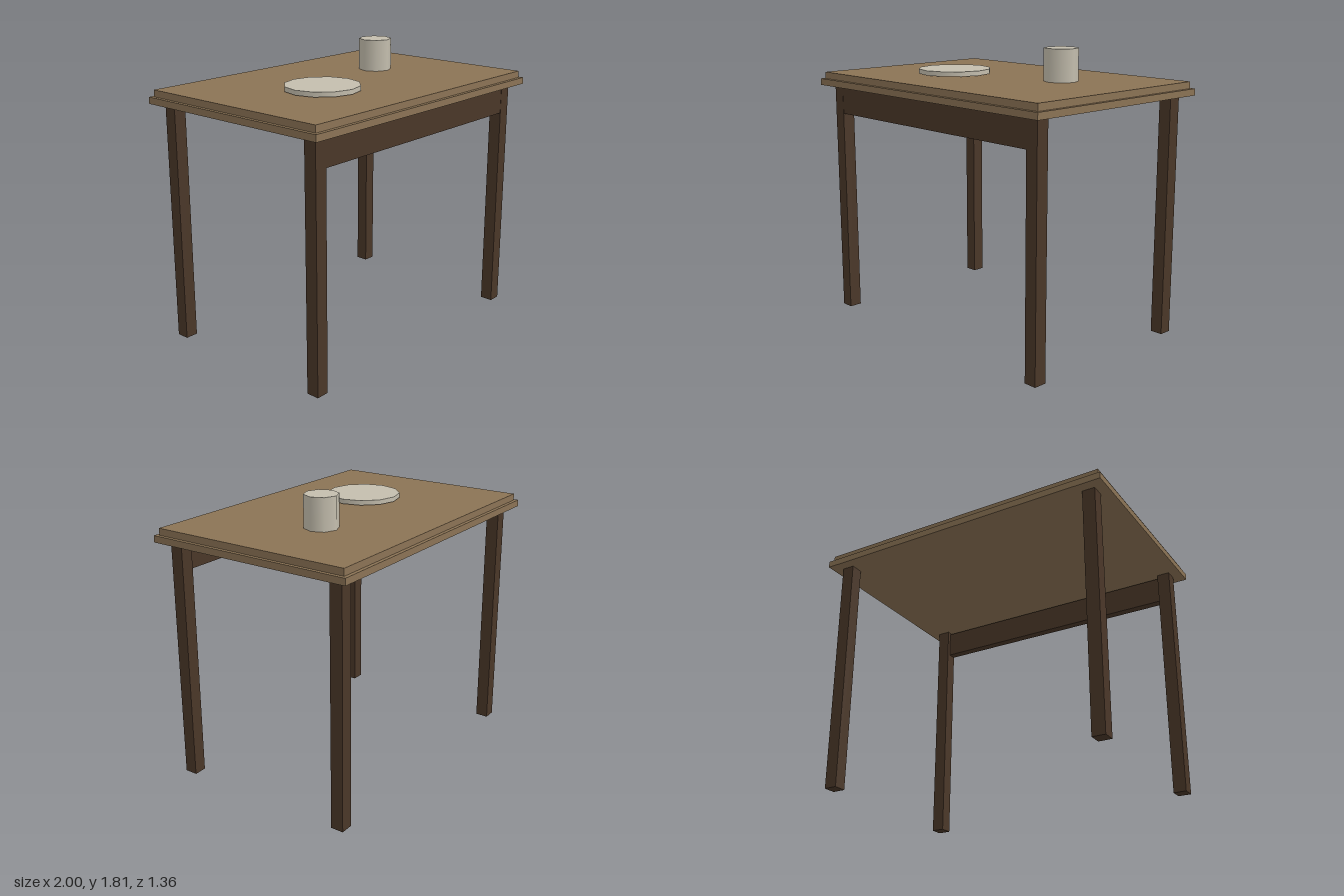
import * as THREE from 'three';

export function createModel() {
  const model = new THREE.Group();
  model.name = 'table';

  const material = (name, color) => {
    const m = new THREE.MeshStandardMaterial({ color });
    m.name = name;
    return m;
  };
  const lightWood = material('lightWood', 0x8b7355);
  const darkWood = material('darkWood', 0x4a3728);
  const ceramic = material('ceramic', 0xc4beae);

  const add = (name, geometry, mat, x, y, z) => {
    const mesh = new THREE.Mesh(geometry, mat);
    mesh.name = name;
    mesh.position.set(x, y, z);
    model.add(mesh);
  };
  // Box given by its width, depth and bottom / top heights
  const box = (name, w, d, y0, y1, mat, x = 0, z = 0) =>
    add(name, new THREE.BoxGeometry(w, y1 - y0, d), mat, x, (y0 + y1) / 2, z);
  // Faceted round piece given by its radius and bottom / top heights
  const round = (name, r, sides, y0, y1, mat, x, z) =>
    add(name, new THREE.CylinderGeometry(r, r, y1 - y0, sides), mat, x, (y0 + y1) / 2, z);

  // Two-step table top
  box('topLowerBoard', 2, 1.364, 1.525, 1.567, lightWood);
  box('topUpperBoard', 1.955, 1.318, 1.567, 1.61, lightWood);

  // Four square legs
  for (const [side, sx] of [['Left', 1], ['Right', -1]]) {
    for (const [end, sz] of [['front', 1], ['back', -1]]) {
      box(`${end}${side}Leg`, 0.082, 0.082, 0, 1.525, darkWood, sx * 0.891, sz * 0.573);
    }
  }

  // Front apron between the legs, just short of the top
  box('frontApron', 1.7, 0.055, 1.343, 1.514, darkWood, 0, 0.585);

  // Tableware
  round('plate', 0.234, 12, 1.616, 1.646, ceramic, -0.32, 0.102);
  round('cup', 0.106, 8, 1.61, 1.812, ceramic, 0.423, -0.107);

  return model;
}
